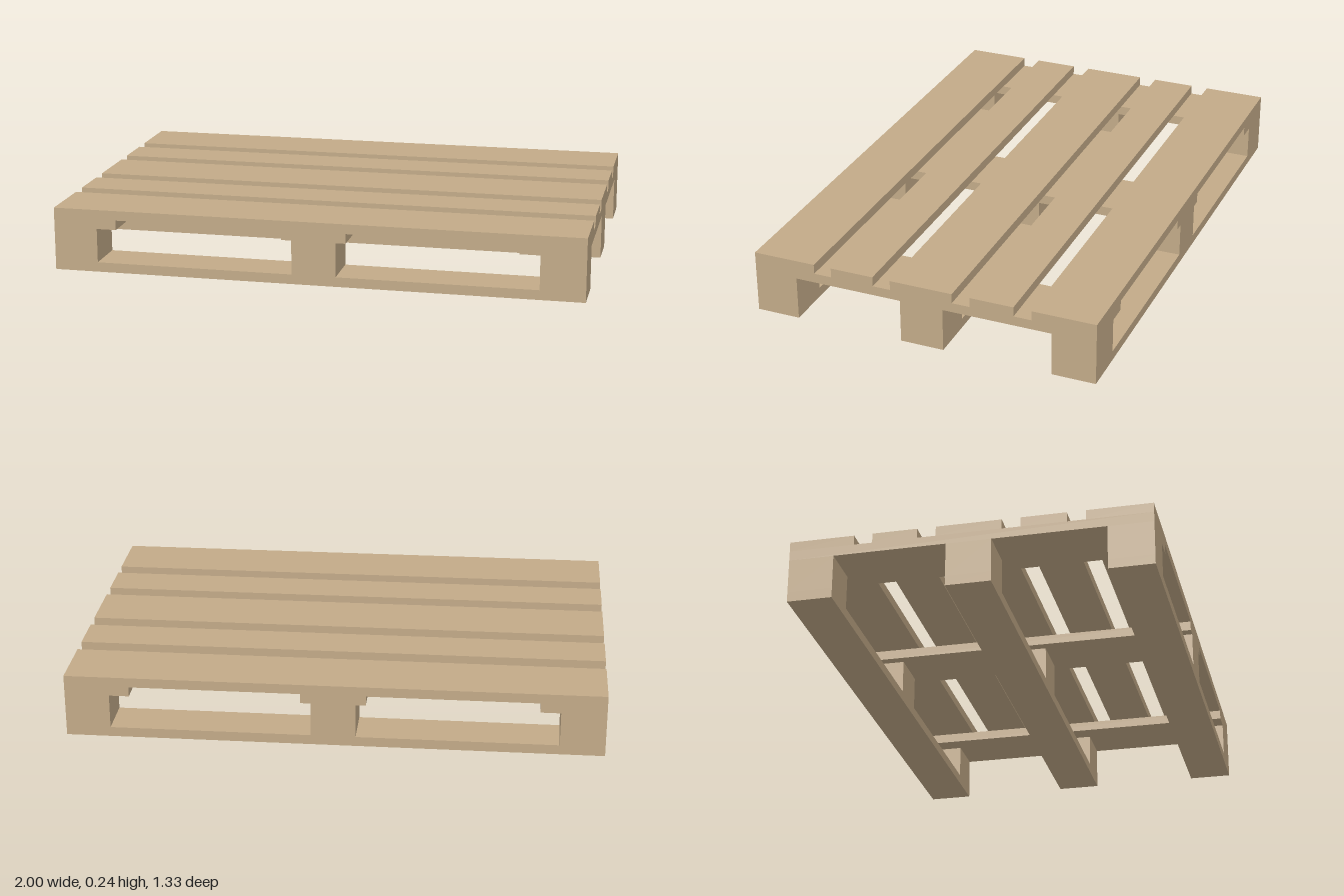
import * as THREE from 'three';

const LENGTH = 2, DEPTH = 4 / 3;
const PLANK = 0.0367;          // thickness of every board
const BLOCK_H = 0.13;          // height of the spacer blocks
const WIDE = 0.2417, NARROW = 0.1667;

export function createModel() {
  const pallet = new THREE.Group();
  pallet.name = 'pallet';
  const wood = new THREE.MeshStandardMaterial({ color: 0xc2aa88, flatShading: true });

  // Box standing on height y, centred on x and z
  const board = (name, w, h, d, x, y, z) => {
    const mesh = new THREE.Mesh(new THREE.BoxGeometry(w, h, d), wood);
    mesh.name = name;
    mesh.position.set(x, y + h / 2, z);
    pallet.add(mesh);
  };

  const blockY = PLANK;
  const stringerY = blockY + BLOCK_H;
  const deckY = stringerY + PLANK;

  for (const row of [-1, 0, 1]) {
    const z = row * (DEPTH - NARROW) / 2;
    // Bottom runners along the length
    board('bottomRunner', LENGTH, PLANK, NARROW, 0, 0, z);
    // Three blocks on each runner
    for (const col of [-1, 0, 1]) {
      board('block', NARROW, BLOCK_H, NARROW, col * (LENGTH - NARROW) / 2, blockY, z);
    }
  }

  // Cross boards joining the block rows
  for (const col of [-1, 0, 1]) {
    board('crossBoard', WIDE, PLANK, DEPTH, col * (LENGTH - WIDE) / 2, stringerY, 0);
  }

  // Deck boards: wide at the edges and middle, narrow between
  board('deckBoardMiddle', LENGTH, PLANK, WIDE, 0, deckY, 0);
  for (const side of [-1, 1]) {
    board('deckBoardNarrow', LENGTH, PLANK, NARROW, 0, deckY, side * 0.273);
    board('deckBoardEdge', LENGTH, PLANK, WIDE, 0, deckY, side * (DEPTH - WIDE) / 2);
  }

  return pallet;
}
